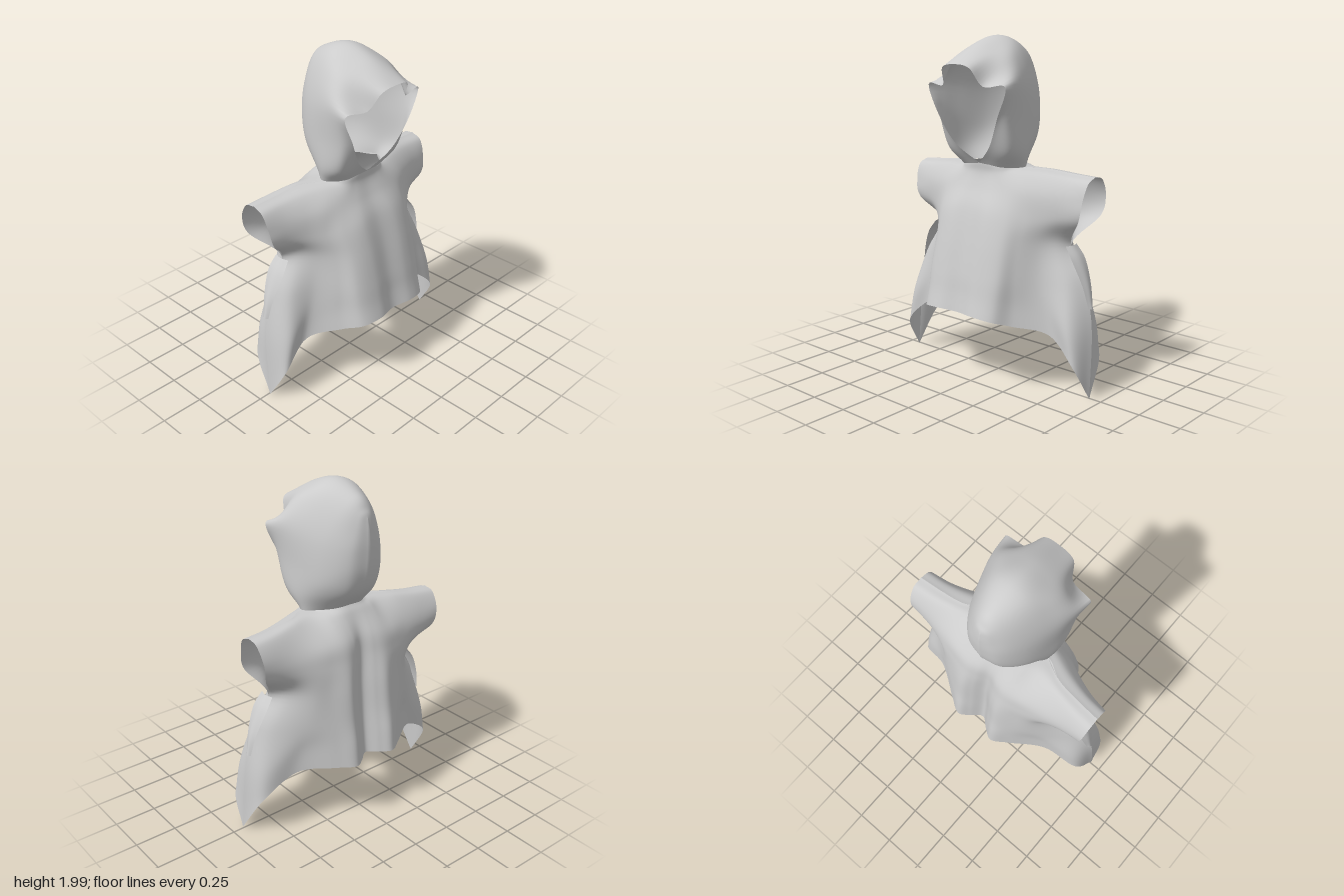
import * as THREE from 'three';
import { mergeVertices } from 'three/addons/utils/BufferGeometryUtils.js';

const cloth = new THREE.MeshStandardMaterial({ color: 0xcccccc, side: THREE.DoubleSide });
const curve = (pts) => new THREE.CatmullRomCurve3(pts, false, 'catmullrom', 0.5);

// Smooth sheet through rows of points
function sheet(name, rows, nu, nv) {
  const lines = rows.map((r) => curve(r).getPoints(nu));
  const pos = [], index = [];
  for (let i = 0; i <= nu; i++) {
    for (const p of curve(lines.map((l) => l[i])).getPoints(nv)) pos.push(p.x, p.y, p.z);
  }
  for (let i = 0; i < nu; i++) {
    for (let j = 0; j < nv; j++) {
      const a = i * (nv + 1) + j, b = a + nv + 1;
      index.push(a, a + 1, b, b, a + 1, b + 1);
    }
  }
  let g = new THREE.BufferGeometry();
  g.setAttribute('position', new THREE.Float32BufferAttribute(pos, 3));
  g.setIndex(index);
  g = mergeVertices(g, 1e-4);
  g.computeVertexNormals();
  const mesh = new THREE.Mesh(g, cloth);
  mesh.name = name;
  return mesh;
}

// The upper part hangs slightly to the right, with the right shoulder lower
function hang(x, y, z) {
  const k = THREE.MathUtils.smoothstep(y, 0.85, 1.1);
  return new THREE.Vector3(x - 0.013 * k, y + 0.016 * x * k, z);
}

// Half rows start on the centre line and are mirrored to the other side
const mirrored = (rows) => rows.map((r) => [
  ...r.slice(1).reverse().map(([x, y, z]) => hang(-x, y, z)),
  ...r.map((p) => hang(...p)),
]);

export function createModel() {
  const model = new THREE.Group();
  model.name = 'hoodedPoncho';

  // Hood: arches from the face opening to the back seam, each from crown to neck
  const hood = [
    [[0, 1.85, .35], [.1, 1.83, .34], [.15, 1.73, .285], [.287, 1.73, .26], [.22, 1.56, .25], [.13, 1.4, .21], [0, 1.29, .15]],
    [[0, 1.96, .15], [.11, 1.92, .15], [.2, 1.85, .15], [.27, 1.74, .14], [.255, 1.54, .18], [.23, 1.37, .16], [.15, 1.27, .11]],
    [[0, 2, -.02], [.1, 1.965, -.02], [.18, 1.87, 0], [.24, 1.72, .02], [.25, 1.52, .04], [.25, 1.37, .04], [.225, 1.27, .02]],
    [[0, 1.94, -.19], [.07, 1.91, -.18], [.13, 1.82, -.17], [.18, 1.68, -.15], [.2, 1.5, -.13], [.19, 1.39, -.11], [.15, 1.28, -.07]],
    [[0, 1.87, -.25], [.04, 1.85, -.25], [.07, 1.77, -.255], [.1, 1.66, -.255], [.11, 1.52, -.245], [.1, 1.4, -.21], [.08, 1.29, -.12]],
    [[0, 1.83, -.27], [0, 1.81, -.275], [0, 1.75, -.285], [0, 1.65, -.29], [0, 1.52, -.28], [0, 1.4, -.235], [0, 1.295, -.13]],
  ];
  model.add(sheet('hood', mirrored(hood), 72, 40));

  // Front sheet: rounded shoulder, chest, underarm, then down to the hem and side tips
  const ridge = [[.225, 1.27, .02], [.35, 1.265, -.04], [.5, 1.25, -.06], [.645, 1.24, -.07]];
  const frontShoulder = [
    [[0, 1.29, .14], [.08, 1.28, .135], [.15, 1.27, .11], ...ridge],
    [[0, 1.23, .14], [.08, 1.23, .14], [.15, 1.23, .13], [.24, 1.24, .085], [.37, 1.235, .035], [.51, 1.22, .005], [.645, 1.21, -.005]],
  ];
  const front = [
    [[0, 1.15, .17], [.1, 1.15, .175], [.2, 1.15, .16], [.3, 1.15, .13], [.41, 1.14, .085], [.52, 1.13, .05], [.635, 1.12, .03]],
    [[0, 1.04, .225], [.13, 1.03, .24], [.24, 1.02, .21], [.33, 1.01, .155], [.42, 1.01, .1], [.51, 1.01, .06], [.61, 1.01, .035]],
    [[0, .87, .275], [.13, .87, .29], [.24, .87, .26], [.31, .87, .19], [.38, .87, .11], [.45, .87, .03], [.5, .86, -.04]],
    [[0, .68, .32], [.13, .68, .335], [.25, .68, .305], [.315, .67, .22], [.41, .66, .12], [.54, .66, .06], [.6, .68, -.03]],
    [[0, .56, .34], [.13, .56, .36], [.25, .55, .33], [.32, .53, .23], [.45, .5, .12], [.605, .42, .11], [.665, .42, -.02]],
    [[0, .46, .36], [.13, .465, .385], [.25, .45, .355], [.325, .415, .25], [.48, .365, .12], [.645, .21, .12], [.68, .01, .01]],
  ];
  model.add(sheet('frontSheet', mirrored([...frontShoulder, ...front]), 96, 49));

  // Back sheet: same edges, with two hanging pleats beside the centre
  const backShoulder = [
    [[0, 1.295, -.13], [.08, 1.29, -.12], [.15, 1.28, -.07], ...ridge],
    [[0, 1.25, -.165], [.08, 1.25, -.165], [.15, 1.25, -.145], [.24, 1.255, -.09], [.37, 1.245, -.11], [.51, 1.23, -.13], [.645, 1.22, -.14]],
  ];
  const back = [
    [[0, 1.14, -.22], [.07, 1.14, -.24], [.14, 1.14, -.245], [.24, 1.14, -.225], [.37, 1.13, -.2], [.5, 1.12, -.19], [.635, 1.12, -.19]],
    [[0, 1.02, -.24], [.07, 1.02, -.27], [.14, 1.02, -.285], [.24, 1.02, -.265], [.36, 1.02, -.235], [.48, 1.01, -.2], [.61, 1.01, -.17]],
    [[0, .87, -.255], [.07, .87, -.295], [.14, .87, -.32], [.24, .87, -.285], [.34, .87, -.24], [.43, .87, -.15], [.5, .86, -.04]],
    [[0, .68, -.27], [.07, .68, -.315], [.14, .68, -.345], [.24, .68, -.305], [.37, .67, -.23], [.53, .66, -.12], [.6, .68, -.03]],
    [[0, .54, -.285], [.07, .54, -.335], [.14, .54, -.37], [.24, .54, -.315], [.4, .53, -.21], [.6, .44, -.14], [.665, .42, -.02]],
    [[0, .41, -.3], [.07, .41, -.35], [.14, .41, -.385], [.24, .41, -.325], [.43, .395, -.2], [.635, .25, -.14], [.68, .01, .01]],
  ];
  model.add(sheet('backSheet', mirrored([...backShoulder, ...back]), 96, 49));

  // Narrow loose flap hanging from each underarm: [x, y, half width]
  for (const side of [-1, 1]) {
    const flap = [[.505, .86, .05], [.56, .78, .06], [.615, .65, .04], [.645, .52, .02]];
    const rows = flap.map(([x, y, w]) => [-1, 0, 1].map((k) =>
      new THREE.Vector3(side * (x + .012 * (1 - k * k)), y, -.035 + k * w)));
    model.add(sheet(side > 0 ? 'leftFlap' : 'rightFlap', rows, 8, 14));
  }
  return model;
}
